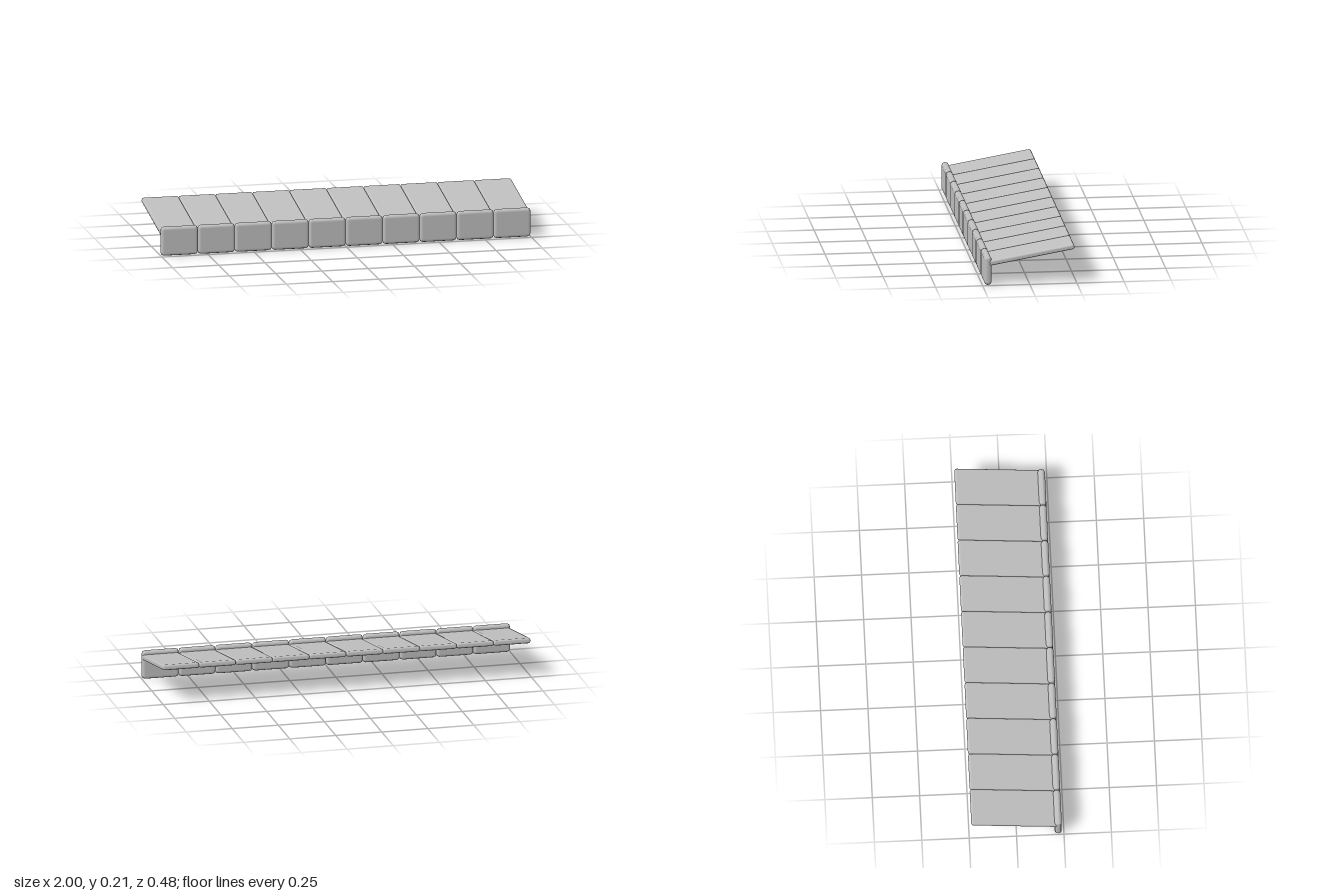
import * as THREE from 'three';
import { RoundedBoxGeometry } from 'three/addons/geometries/RoundedBoxGeometry.js';

export function createModel() {
  const model = new THREE.Group();
  const stone = new THREE.MeshStandardMaterial({ color: 0xc0c0c0 });

  const count = 10;
  const pitch = 2 / count;

  // Upright lip block and sloping tile, both with softly bevelled edges
  const lipGeometry = new RoundedBoxGeometry(pitch, 0.156, 0.038, 1, 0.017);
  const tileGeometry = new RoundedBoxGeometry(pitch, 0.029, 0.461, 1, 0.011);

  for (let i = 0; i < count; i++) {
    const section = new THREE.Group();
    section.name = 'roofSection' + (i + 1);
    section.position.x = (i - (count - 1) / 2) * pitch;

    const lip = new THREE.Mesh(lipGeometry, stone);
    lip.name = 'frontLip';
    lip.position.set(0, 0.079, 0.22);

    // The tile rises towards the back
    const tile = new THREE.Mesh(tileGeometry, stone);
    tile.name = 'slopingTile';
    tile.position.set(0, 0.16, -0.011);
    tile.rotation.x = THREE.MathUtils.degToRad(9.9);

    section.add(lip, tile);
    model.add(section);
  }

  stone.name = 'lightGrey';
  return model;
}
